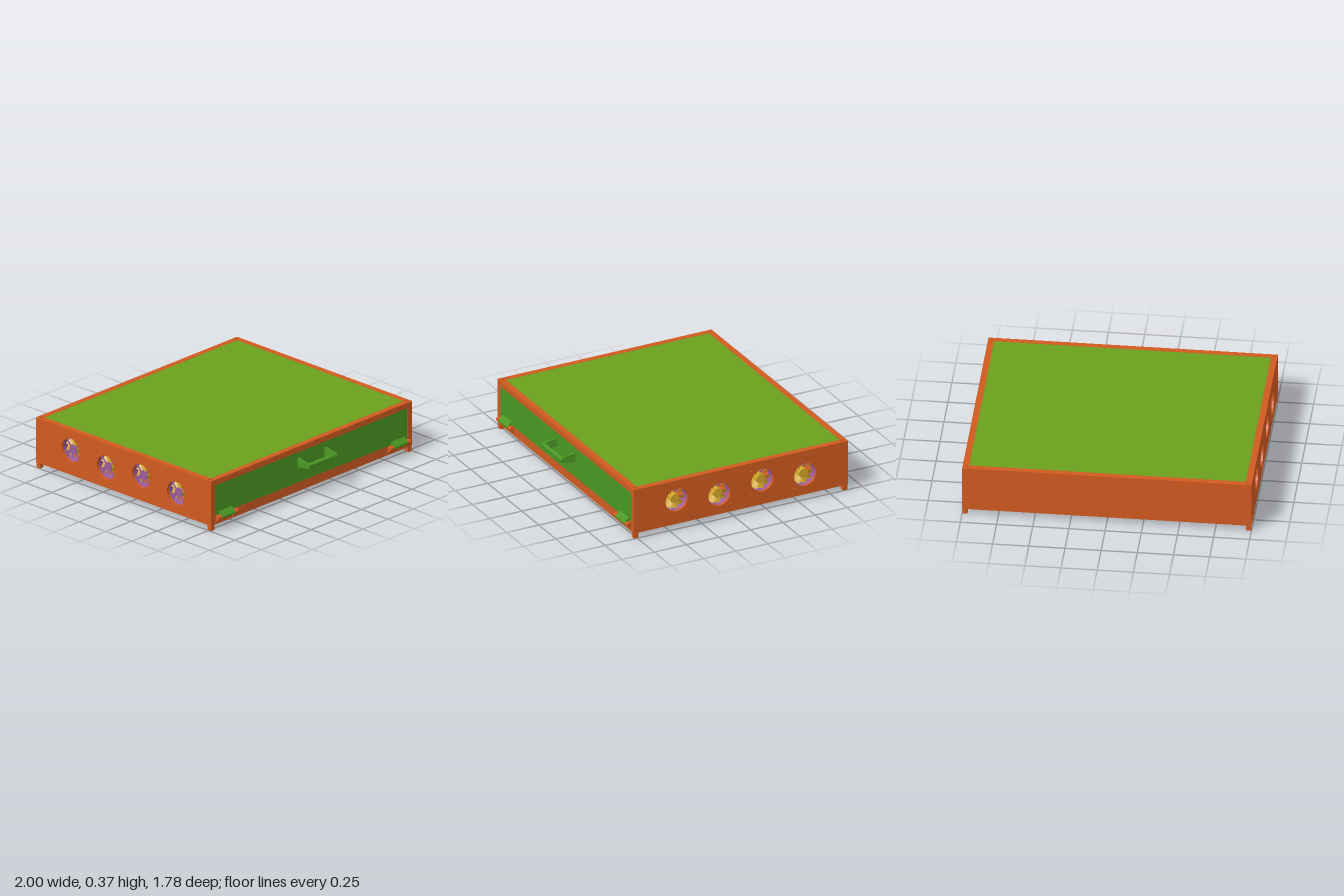
import * as THREE from 'three';

const ORANGE = 0xd15a20, LID = 0x6ba01c, DOOR = 0x4b9823, YELLOW = 0xd4a82a, PURPLE = 0x9b5c9e;
const BACK = -0.89, FRONT = 0.775, BOTTOM = 0.04, TOP = 0.37, WALL = 0.02;
const MID = (BACK + FRONT) / 2, DEPTH = FRONT - BACK;

const mat = (color, extra = {}) => new THREE.MeshStandardMaterial({ color, ...extra });
const orange = mat(ORANGE), lidGreen = mat(LID), doorGreen = mat(DOOR);
const yellow = mat(YELLOW), purple = mat(PURPLE);
const bladeMat = mat(YELLOW, { side: THREE.DoubleSide });

function add(parent, name, geometry, material, x = 0, y = 0, z = 0) {
  const mesh = new THREE.Mesh(geometry, material);
  mesh.name = name;
  mesh.position.set(x, y, z);
  parent.add(mesh);
  return mesh;
}

// Box given by its limits on each axis
function block(parent, name, material, x0, x1, y0, y1, z0, z1) {
  return add(parent, name, new THREE.BoxGeometry(x1 - x0, y1 - y0, z1 - z0), material,
    (x0 + x1) / 2, (y0 + y1) / 2, (z0 + z1) / 2);
}

function rect(x0, x1, y0, y1, Type = THREE.Shape) {
  const p = new Type();
  p.moveTo(x0, y0);
  p.lineTo(x1, y0);
  p.lineTo(x1, y1);
  p.lineTo(x0, y1);
  p.closePath();
  return p;
}

const rectHole = (x0, x1, y0, y1) => rect(x0, x1, y0, y1, THREE.Path);
const roundHole = (x, y, r) => new THREE.Path().absarc(x, y, r, 0, Math.PI * 2, true);
const extrude = (shape, depth, curveSegments = 20) =>
  new THREE.ExtrudeGeometry(shape, { depth, bevelEnabled: false, curveSegments });

// Plate drawn in the side plane (shape x = z, shape y = y), extruded along x from x0 to x1
function sidePlate(parent, name, material, shape, x0, x1) {
  const geometry = extrude(shape, x1 - x0);
  geometry.rotateY(-Math.PI / 2);
  return add(parent, name, geometry, material, x1, 0, 0);
}

// Fan positions: two alternating heights, swapped on the opposite wall
const fanSpots = (side) => [0.443, 0.11, -0.224, -0.557].map((z, i) =>
  ({ z, y: (i % 2 === 0) === (side > 0) ? 0.222 : 0.189 }));

// One pitched fan blade, fanned out and twisted from a flat grid
function bladeGeometry() {
  const g = new THREE.PlaneGeometry(1, 1, 4, 4), p = g.attributes.position;
  for (let i = 0; i < p.count; i++) {
    const u = p.getX(i), t = p.getY(i) + 0.5;
    const r = 0.03 + 0.052 * t, a = u * 0.58 - 0.15 * t;
    p.setXYZ(i, r * Math.cos(a), r * Math.sin(a), u * 0.034);
  }
  g.computeVertexNormals();
  return g;
}

// Fan with its axis along local z: housing, struts at the rear, hub and blades
function makeFan() {
  const fan = new THREE.Group();
  fan.name = 'fan';
  const frame = rect(-0.098, 0.098, -0.098, 0.098);
  frame.holes.push(roundHole(0, 0, 0.087));
  add(fan, 'fanHousing', extrude(frame, 0.06), purple, 0, 0, -0.03);
  for (const a of [Math.PI / 4, -Math.PI / 4])
    add(fan, 'fanStrut', new THREE.BoxGeometry(0.18, 0.01, 0.006), purple, 0, 0, -0.026).rotation.z = a;
  const disc = new THREE.CylinderGeometry(0.034, 0.034, 0.006, 24).rotateX(Math.PI / 2);
  add(fan, 'motorMount', disc, purple, 0, 0, -0.026);
  const hub = new THREE.CylinderGeometry(0.034, 0.034, 0.048, 24).rotateX(Math.PI / 2);
  add(fan, 'fanHub', hub, yellow, 0, 0, 0.002);
  const blade = bladeGeometry();
  for (let i = 0; i < 9; i++)
    add(fan, 'fanBlade', blade, bladeMat).rotation.z = (i / 9) * Math.PI * 2;
  return fan;
}

// Side wall with fan openings and screw holes, plus its four fans
function makeSide(side) {
  const g = new THREE.Group();
  g.name = side > 0 ? 'leftSide' : 'rightSide';
  const wall = rect(BACK, FRONT, BOTTOM, TOP);
  for (const { z, y } of fanSpots(side)) {
    wall.holes.push(roundHole(z, y, 0.086));
    for (const dz of [-0.088, 0.088])
      for (const dy of [-0.088, 0.088]) wall.holes.push(roundHole(z + dz, y + dy, 0.005));
    const fan = makeFan();
    fan.rotation.y = Math.PI / 2;
    fan.position.set(side * (1 - WALL - 0.03), y, z);
    g.add(fan);
  }
  sidePlate(g, 'sideWall', orange, wall, side > 0 ? 1 - WALL : -1, side > 0 ? 1 : -1 + WALL);
  return g;
}

// Hinge: two orange knuckles, a green leaf between them and a pin
function makeHinge(side) {
  const g = new THREE.Group();
  g.name = 'hinge';
  const at = (a, b) => (side > 0 ? [a, b] : [-b, -a]);
  const py = 0.09, pz = 0.795, r = 0.014;
  const knuckle = new THREE.Shape();
  knuckle.moveTo(FRONT, 0.05);
  knuckle.lineTo(pz + 0.009, py - 0.011);
  knuckle.absarc(pz, py, r, -0.85, Math.PI / 2, false);
  knuckle.lineTo(FRONT, py + r);
  for (const [a, b] of [[0.755, 0.79], [0.925, 0.957]])
    sidePlate(g, 'hingeKnuckle', orange, knuckle, ...at(a, b));
  const leaf = new THREE.Shape();
  leaf.moveTo(FRONT, 0.09);
  leaf.lineTo(pz, py - r);
  leaf.absarc(pz, py, r, -Math.PI / 2, 0.75, false);
  leaf.lineTo(FRONT, 0.13);
  sidePlate(g, 'hingeLeaf', doorGreen, leaf, ...at(0.792, 0.923));
  const pin = new THREE.CylinderGeometry(0.006, 0.006, 0.19, 12).rotateZ(Math.PI / 2);
  add(g, 'hingePin', pin, orange, side * 0.856, py, pz);
  return g;
}

// Handle: two tapered arms joined by a round bar
function makeHandle() {
  const g = new THREE.Group();
  g.name = 'handle';
  const arm = new THREE.Shape();
  arm.moveTo(FRONT, 0.222);
  arm.lineTo(0.868, 0.234);
  arm.absarc(0.87, 0.254, 0.02, -Math.PI / 2, Math.PI / 2, false);
  arm.lineTo(FRONT, 0.289);
  for (const x of [-0.142, 0.127]) sidePlate(g, 'handleArm', doorGreen, arm, x, x + 0.015);
  const bar = new THREE.CylinderGeometry(0.016, 0.016, 0.26, 20).rotateZ(Math.PI / 2);
  add(g, 'handleBar', bar, doorGreen, 0, 0.254, 0.87);
  return g;
}

export function createModel() {
  const model = new THREE.Group();
  model.name = 'ventilatedCase';

  // Shell
  const inner = 1 - WALL;
  block(model, 'floor', orange, -inner, inner, BOTTOM, BOTTOM + WALL, BACK + WALL, FRONT - WALL);
  block(model, 'backWall', orange, -inner, inner, BOTTOM, TOP, BACK, BACK + WALL);
  model.add(makeSide(1), makeSide(-1));

  // Front frame and door
  const frontFrame = rect(-inner, inner, BOTTOM, TOP);
  frontFrame.holes.push(rectHole(-0.957, 0.957, 0.105, 0.33));
  add(model, 'frontFrame', extrude(frontFrame, WALL), orange, 0, 0, FRONT - WALL);
  block(model, 'door', doorGreen, -0.957, 0.957, 0.105, 0.33, FRONT - WALL, FRONT - 0.001);
  model.add(makeHandle(), makeHinge(1), makeHinge(-1));

  // Top frame with a stacking socket in each corner (shape y = -z)
  const hx = 1, hz = DEPTH / 2;
  const topFrame = rect(-hx, hx, -hz, hz);
  topFrame.holes.push(rectHole(-0.957, 0.957, -hz + 0.042, hz - 0.042));
  for (const sx of [-1, 1])
    for (const sz of [-1, 1]) {
      const cx = sx * (hx - 0.02), cz = sz * (hz - 0.02);
      topFrame.holes.push(rectHole(cx - 0.018, cx + 0.018, cz - 0.018, cz + 0.018));
      block(model, 'socketFloor', orange, cx - 0.019, cx + 0.019, TOP - 0.03, TOP - 0.02,
        MID + cz - 0.019, MID + cz + 0.019);
      block(model, 'foot', orange, cx - 0.017, cx + 0.017, 0, BOTTOM + 0.005,
        MID + cz - 0.017, MID + cz + 0.017);
    }
  const frameGeometry = extrude(topFrame, 0.021).rotateX(-Math.PI / 2);
  add(model, 'topFrame', frameGeometry, orange, 0, TOP - 0.02, MID);
  block(model, 'lidPanel', lidGreen, -0.957, 0.957, TOP - 0.02, TOP, BACK + 0.042, FRONT - 0.042);

  return model;
}
